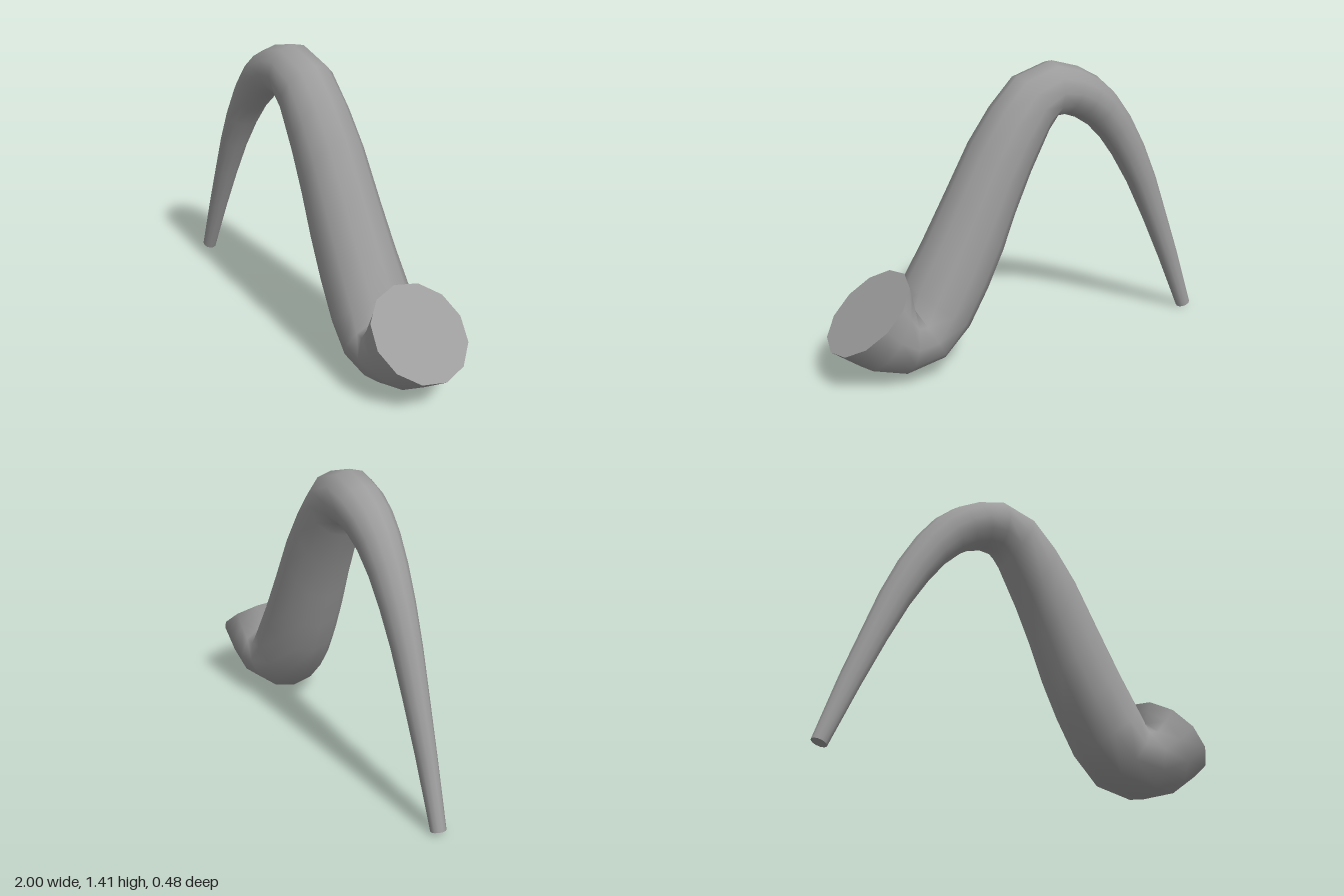
import * as THREE from 'three';

const SIDES = 12;

// Each ring of the horn: two opposite edge points in the side plane [ax, ay, bx, by]
const RINGS = [
  [-1, 0.025, -0.93, 0], [-0.9, 0.33, -0.8, 0.3], [-0.82, 0.55, -0.69, 0.54],
  [-0.74, 0.77, -0.59, 0.74], [-0.66, 0.95, -0.5, 0.89], [-0.57, 1.11, -0.42, 1.0],
  [-0.48, 1.23, -0.34, 1.08], [-0.39, 1.31, -0.27, 1.125], [-0.28, 1.37, -0.2, 1.15],
  [-0.14, 1.41, -0.14, 1.145], [0.04, 1.355, -0.1, 1.085], [0.16, 1.23, 0, 0.89],
  [0.27, 1.075, 0.08, 0.71], [0.4, 0.835, 0.15, 0.53], [0.52, 0.615, 0.23, 0.365],
  [0.62, 0.445, 0.33, 0.195], [0.64, 0.37, 0.47, 0.062], [0.63, 0.39, 0.68, 0.022],
  [0.625, 0.45, 0.86, 0.08], [0.63, 0.497, 1, 0.186],
];

// Elliptical cross-section whose depth grows steadily from tip to base
function ringPoints(i) {
  const [ax, ay, bx, by] = RINGS[i];
  const depth = 0.035 + 0.0108 * i;
  const points = [];
  for (let j = 0; j < SIDES; j++) {
    const t = (j / SIDES) * Math.PI * 2;
    const c = Math.cos(t) / 2;
    points.push(new THREE.Vector3(
      (ax + bx) / 2 + (ax - bx) * c,
      (ay + by) / 2 + (ay - by) * c,
      depth * Math.sin(t),
    ));
  }
  return points;
}

function makeGeometry(points, index) {
  const geometry = new THREE.BufferGeometry().setFromPoints(points);
  geometry.setIndex(index);
  geometry.computeVertexNormals();
  return geometry;
}

// Smooth skin joining all the rings
function skinGeometry() {
  const points = RINGS.flatMap((_, i) => ringPoints(i));
  const index = [];
  for (let i = 0; i < RINGS.length - 1; i++) {
    for (let j = 0; j < SIDES; j++) {
      const k = (j + 1) % SIDES;
      const a = i * SIDES + j, b = i * SIDES + k;
      index.push(a, b, b + SIDES, a, b + SIDES, a + SIDES);
    }
  }
  return makeGeometry(points, index);
}

// Flat disc closing one end
function capGeometry(i, flip) {
  const points = ringPoints(i);
  const index = [];
  for (let j = 1; j < SIDES - 1; j++) {
    index.push(0, flip ? j + 1 : j, flip ? j : j + 1);
  }
  return makeGeometry(points, index);
}

export function createModel() {
  const group = new THREE.Group();
  group.name = 'curvedHorn';
  const material = new THREE.MeshStandardMaterial({ color: 0x9c9c9c, side: THREE.DoubleSide });
  const add = (name, geometry) => {
    const mesh = new THREE.Mesh(geometry, material);
    mesh.name = name;
    group.add(mesh);
  };
  add('hornBody', skinGeometry());
  add('tipCap', capGeometry(0, true));
  add('baseCap', capGeometry(RINGS.length - 1, false));
  return group;
}
